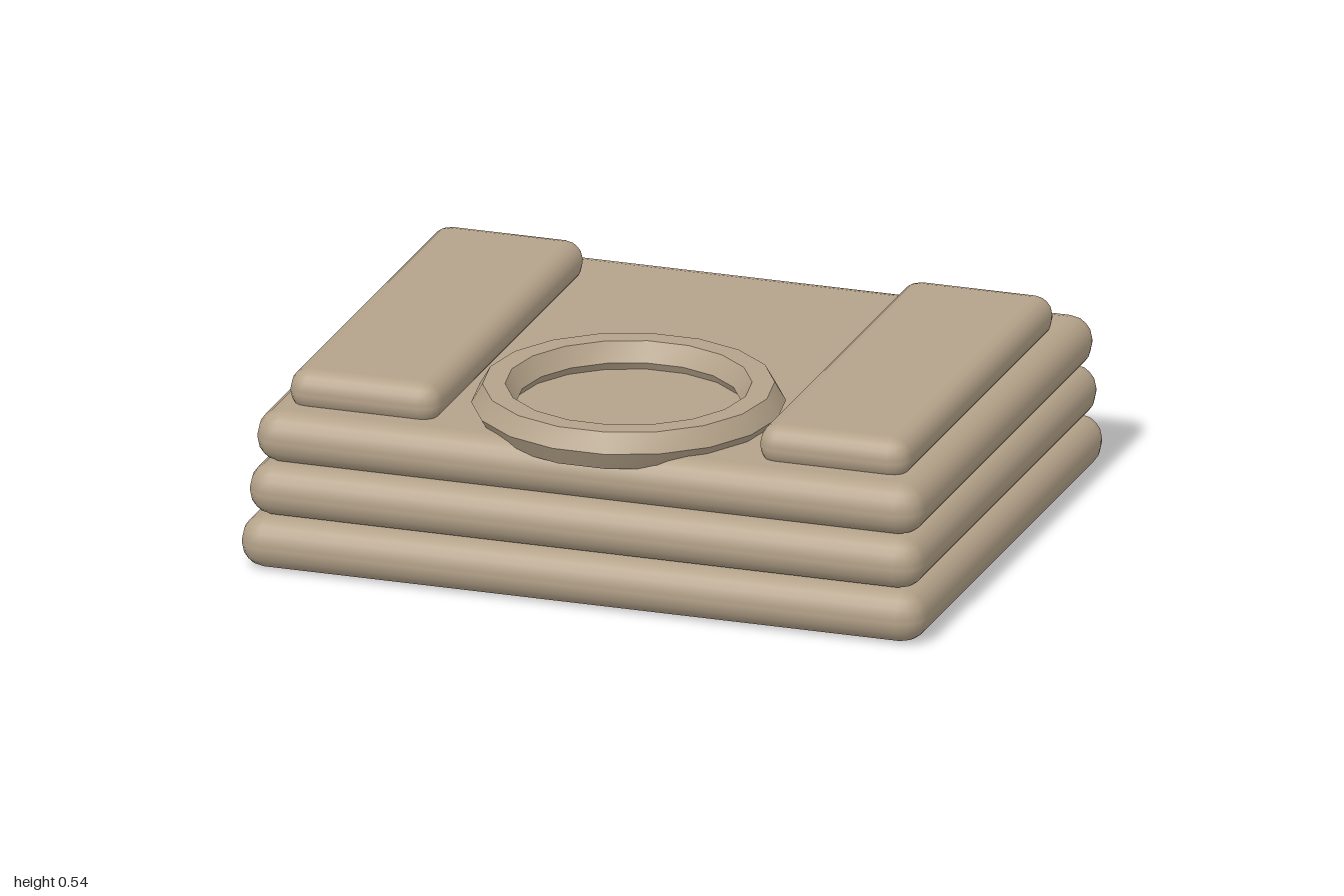
import * as THREE from 'three';
import { toCreasedNormals } from 'three/addons/utils/BufferGeometryUtils.js';
import { RoundedBoxGeometry } from 'three/addons/geometries/RoundedBoxGeometry.js';

export function createModel() {
  const model = new THREE.Group();
  model.name = 'stackedSlabs';
  const tan = new THREE.MeshStandardMaterial({ color: 0xb5a38a });
  tan.name = 'tan';

  // Rounded slab given by its extents
  function slab(name, [x0, x1], [y0, y1], [z0, z1], radius) {
    const geometry = new RoundedBoxGeometry(x1 - x0, y1 - y0, z1 - z0, 2, radius);
    const mesh = new THREE.Mesh(geometry, tan);
    mesh.name = name;
    mesh.position.set((x0 + x1) / 2, (y0 + y1) / 2, (z0 + z1) / 2);
    model.add(mesh);
  }

  // Three stacked layers, each set back a little at the front
  slab('bottomLayer', [-1, 1], [0, 0.15], [-0.81, 0.81], 0.07);
  slab('middleLayer', [-0.985, 0.985], [0.147, 0.297], [-0.805, 0.785], 0.07);
  slab('topLayer', [-0.975, 0.975], [0.292, 0.442], [-0.8, 0.75], 0.07);

  // Long pads along both sides
  slab('leftPad', [0.465, 0.905], [0.42, 0.54], [-0.65, 0.65], 0.055);
  slab('rightPad', [-0.908, -0.468], [0.42, 0.54], [-0.65, 0.65], 0.055);

  // Faceted ring, overhanging the front edge
  const ringGeometry = toCreasedNormals(new THREE.TorusGeometry(0.373, 0.0625, 6, 18), 0.6);
  const ring = new THREE.Mesh(ringGeometry, tan);
  ring.name = 'ring';
  ring.rotation.x = -Math.PI / 2;
  ring.position.set(0, 0.465, 0.37);
  model.add(ring);

  return model;
}
